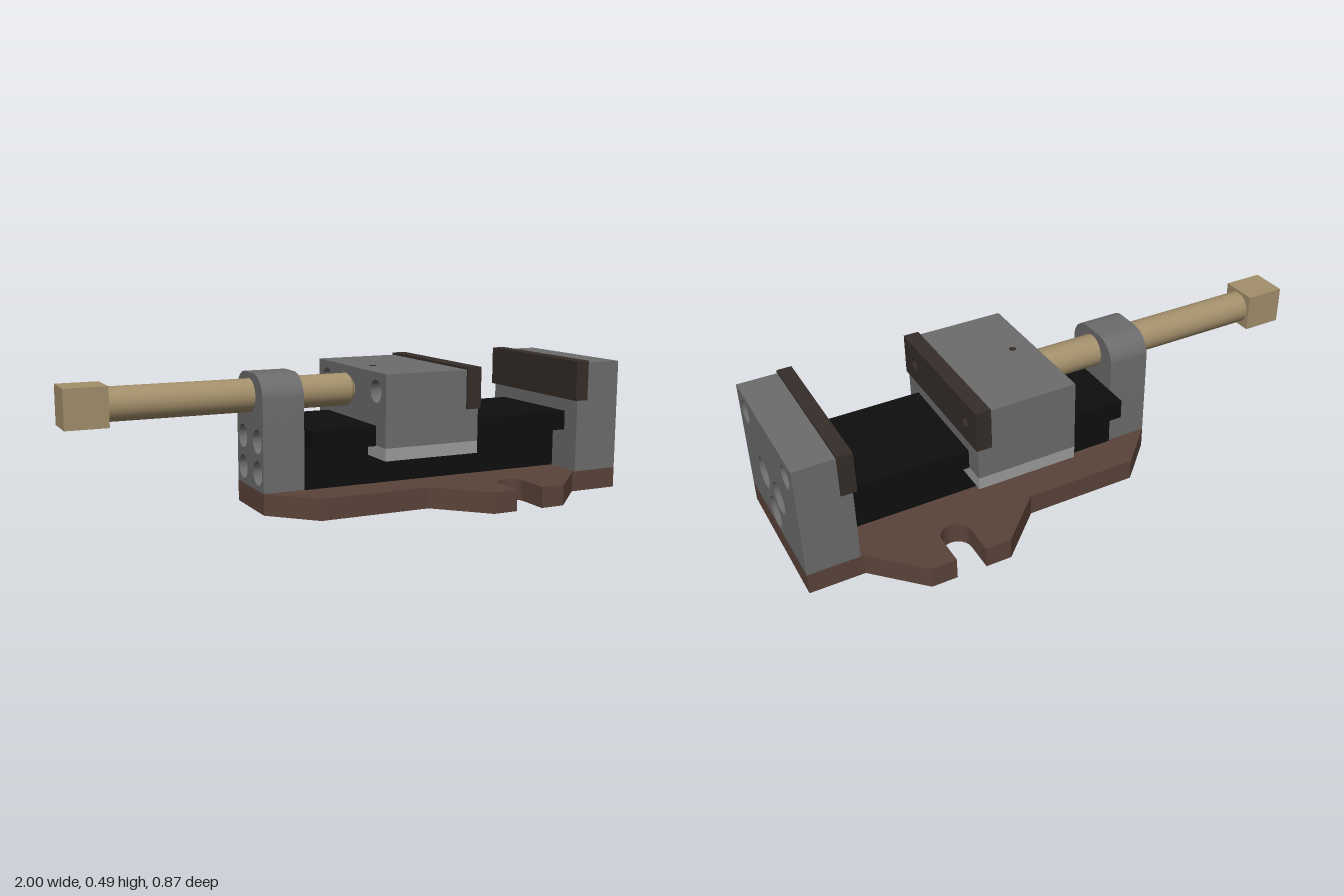
import * as THREE from 'three';
import { toCreasedNormals } from 'three/addons/utils/BufferGeometryUtils.js';

const mat = (color) => new THREE.MeshStandardMaterial({ color });
const STEEL = mat(0x6c6c6c), BROWN = mat(0x5a4339), BLACK = mat(0x0e0e0e);
const BRASS = mat(0xa38f6b), DARK = mat(0x352d29), LIGHT = mat(0x9c9c9c);

function add(parent, name, geometry, material, x = 0, y = 0, z = 0) {
  const mesh = new THREE.Mesh(geometry, material);
  mesh.name = name;
  mesh.position.set(x, y, z);
  parent.add(mesh);
  return mesh;
}

function shapeOf(points, holes = []) {
  const shape = new THREE.Shape(points.map(([a, b]) => new THREE.Vector2(a, b)));
  return drill(shape, holes);
}

// holes are [across, up, radius]
function drill(shape, holes) {
  for (const [a, b, r] of holes) {
    const path = new THREE.Path();
    path.absarc(a, b, r, 0, Math.PI * 2, true);
    shape.holes.push(path);
  }
  return shape;
}

function extrude(shape, depth) {
  const geo = new THREE.ExtrudeGeometry(shape, { depth, bevelEnabled: false, curveSegments: 16 });
  return toCreasedNormals(geo, 0.6);
}

// extrude a (z, y) cross-section along x, from x0 to x1
function alongX(parent, name, shape, x0, x1, material) {
  const geo = extrude(shape, x1 - x0).rotateY(Math.PI / 2);
  return add(parent, name, geo, material, x0);
}

const rect = (w, y0, y1) => [[-w, y0], [w, y0], [w, y1], [-w, y1]];
const resize = (holes, r) => holes.map(([a, b]) => [a, b, r]);

function makeBase(root) {
  // half outline with one open mounting slot, mirrored to the other side
  const half = [[1, 0.273], [0.81, 0.273], [0.65, 0.437], [0.56, 0.437]];
  for (let i = 0; i <= 12; i++) {
    const a = (i / 12) * Math.PI;
    half.push([0.508 + 0.052 * Math.cos(a), 0.327 - 0.052 * Math.sin(a)]);
  }
  half.push([0.456, 0.437], [0.365, 0.437], [0.2, 0.273], [-0.208, 0.273], [-0.355, 0.125]);
  const other = half.map(([x, z]) => [x, -z]).reverse();
  const holes = [];
  for (const x of [-0.05, 0.27, 0.59]) for (const s of [-1, 1]) holes.push([x, s * 0.1, 0.018]);
  const geo = extrude(shapeOf([...half, ...other], holes), 0.075).rotateX(-Math.PI / 2);
  add(root, 'basePlate', geo, BROWN);
}

function makeRail(root) {
  // T-shaped slide rail
  const right = [[0.13, 0.075], [0.13, 0.222], [0.2, 0.222], [0.2, 0.292]];
  const left = right.map(([z, y]) => [-z, y]).reverse();
  alongX(root, 'slideRail', shapeOf([...right, ...left]), -0.205, 0.82, BLACK);
}

const plateBolts = [[-0.2, 0.412], [0.2, 0.412]];

function makeFixedJaw(root) {
  const jaw = new THREE.Group();
  jaw.name = 'fixedJaw';
  root.add(jaw);
  const railBolts = [[-0.076, 0.245], [0.076, 0.245], [0, 0.135]];
  const w = 0.273;
  // step under the plate, drilled core, counterbored outer face
  alongX(jaw, 'jawStep', shapeOf(rect(w, 0.075, 0.34), resize(railBolts, 0.031)), 0.82, 0.86, STEEL);
  alongX(jaw, 'jawCore', shapeOf(rect(w, 0.075, 0.478),
    [...resize(railBolts, 0.031), ...resize(plateBolts, 0.024)]), 0.86, 0.94, STEEL);
  alongX(jaw, 'jawOuterFace', shapeOf(rect(w, 0.075, 0.478),
    [...resize(railBolts, 0.055), ...resize(plateBolts, 0.04)]), 0.94, 1, STEEL);
  alongX(jaw, 'gripPlate', shapeOf(rect(0.28, 0.34, 0.486)), 0.808, 0.86, DARK);
}

function makeMovingJaw(root) {
  const jaw = new THREE.Group();
  jaw.name = 'movingJaw';
  root.add(jaw);
  // saddle section that wraps the rail head
  const saddle = (top, holes) => shapeOf([
    [-0.273, 0.225], [-0.202, 0.225], [-0.202, 0.293], [0.202, 0.293],
    [0.202, 0.225], [0.273, 0.225], [0.273, top], [-0.273, top]], holes);
  alongX(jaw, 'jawBackFace', saddle(0.478, resize(plateBolts, 0.04)), 0.03, 0.09, STEEL);
  alongX(jaw, 'jawBody', saddle(0.478, resize(plateBolts, 0.024)), 0.09, 0.345, STEEL);
  alongX(jaw, 'jawStep', saddle(0.34, []), 0.345, 0.393, STEEL);
  alongX(jaw, 'gripPlate', shapeOf(rect(0.28, 0.34, 0.486), resize(plateBolts, 0.02)), 0.345, 0.4, DARK);
  add(jaw, 'oilHole', new THREE.CylinderGeometry(0.012, 0.012, 0.004, 16), DARK, 0.105, 0.477, 0.025);

  // keeper strips clamped under the rail head
  for (const s of [-1, 1]) {
    const strip = shapeOf([[0.03, -0.066], [0.393, -0.066], [0.393, 0.066], [0.03, 0.066]],
      [[0.1, s * -0.035, 0.016], [0.32, s * -0.035, 0.016]]);
    add(jaw, 'keeperStrip', extrude(strip, 0.044).rotateX(-Math.PI / 2), LIGHT, 0, 0.181, s * 0.207);
  }
}

function makeScrewBlock(root) {
  const w = 0.125, top = 0.476, r = 0.085;
  const bolts = [];
  for (const z of [-0.07, 0.07]) for (const y of [0.135, 0.245]) bolts.push([z, y]);
  const section = (radius) => {
    const s = new THREE.Shape();
    s.moveTo(-w, 0.075);
    s.lineTo(w, 0.075);
    s.lineTo(w, top - r);
    s.absarc(w - r, top - r, r, 0, Math.PI / 2, false);
    s.lineTo(-w + r, top);
    s.absarc(-w + r, top - r, r, Math.PI / 2, Math.PI, false);
    return drill(s, resize(bolts, radius));
  };
  const block = new THREE.Group();
  block.name = 'screwBlock';
  root.add(block);
  alongX(block, 'blockOuterFace', section(0.042), -0.355, -0.28, STEEL);
  alongX(block, 'blockCore', section(0.026), -0.28, -0.205, STEEL);
}

function makeScrew(root) {
  const screw = new THREE.Group();
  screw.name = 'leadScrew';
  screw.position.y = 0.397;
  root.add(screw);
  // shaft with chamfered tip and a thinner neck that enters the jaw
  const profile = [[0, -0.86], [0.058, -0.86], [0.058, 0.01], [0.05, 0.02], [0.035, 0.02], [0.035, 0.05], [0, 0.05]]
    .map(([r, x]) => new THREE.Vector2(r, x));
  const shaft = toCreasedNormals(new THREE.LatheGeometry(profile, 32), 0.5).rotateZ(-Math.PI / 2);
  add(screw, 'shaft', shaft, BRASS);
  add(screw, 'squareHead', new THREE.BoxGeometry(0.145, 0.135, 0.135), BRASS, -0.9275);
}

export function createModel() {
  const root = new THREE.Group();
  root.name = 'machineVise';
  makeBase(root);
  makeRail(root);
  makeFixedJaw(root);
  makeMovingJaw(root);
  makeScrewBlock(root);
  makeScrew(root);
  return root;
}
